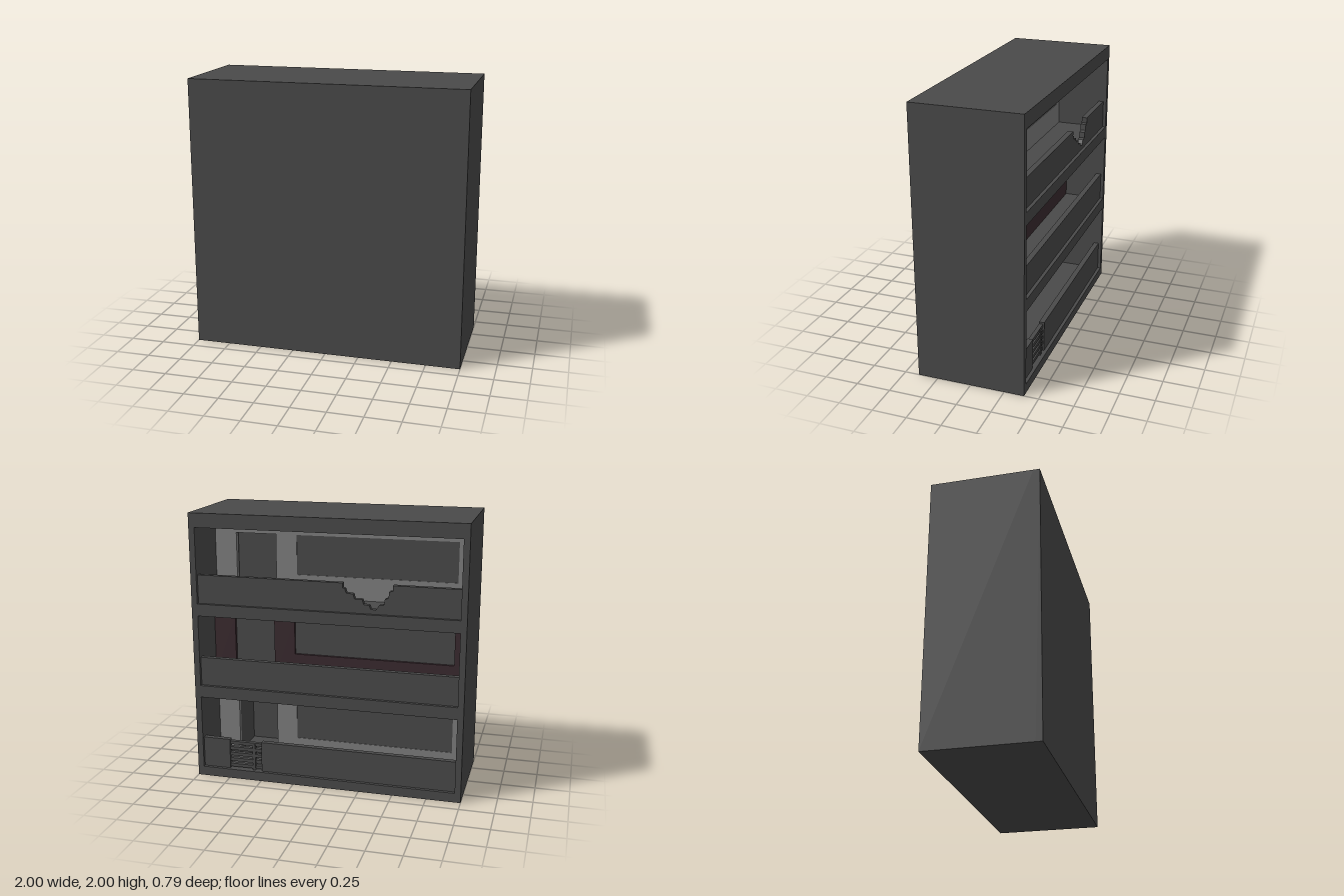
import * as THREE from 'three';

export function createModel() {
  const model = new THREE.Group();
  const mat = (name, color) => {
    const m = new THREE.MeshStandardMaterial({ color });
    m.name = name;
    return m;
  };
  const casing = mat('dark grey', 0x4a4a4a);
  const light = mat('light grey', 0x808080);
  const maroon = mat('dark maroon', 0x3b2b30);

  const W = 0.956, BACK = -0.395, FRONT = 0.395;
  const rect = (x0, x1, y0, y1) =>
    [[x0, y0], [x1, y0], [x1, y1], [x0, y1]].map(([x, y]) => new THREE.Vector2(x, y));

  // Flat outline with holes, extruded between two z planes
  function slab(name, outline, holes, z0, z1, material, parent = model) {
    const shape = new THREE.Shape(outline);
    holes.forEach(h => shape.holes.push(new THREE.Path(h)));
    const geo = new THREE.ExtrudeGeometry(shape, { depth: z1 - z0, bevelEnabled: false });
    geo.translate(0, 0, z0);
    const mesh = new THREE.Mesh(geo, material);
    mesh.name = name;
    parent.add(mesh);
  }

  // Compartments: floor, ceiling, rail top, inner panel depth and colour
  const rows = [
    { name: 'upper', y0: 1.34, y1: 1.896, rail: 1.55, z: 0, top: 0.09, sill: 0.17, depth: 0.05, material: light },
    { name: 'middle', y0: 0.717, y1: 1.25, rail: 0.93, z: -0.075, top: 0.072, sill: 0.2, depth: 0.03, material: maroon },
    { name: 'lower', y0: 0.07, y1: 0.627, rail: 0.3, z: -0.04, top: 0.1, sill: 0.16, depth: 0.32, material: light },
  ];

  // Cabinet shell, open at the back, and its closed front
  slab('cabinetShell', rect(-1, 1, 0, 2), rows.map(r => rect(-W, W, r.y0, r.y1)), BACK, 0.35, casing);
  slab('frontWall', rect(-1, 1, 0, 2), [], 0.35, FRONT, casing);

  for (const r of rows) {
    const bay = new THREE.Group();
    bay.name = r.name + 'Compartment';
    model.add(bay);

    // Inner panel with a narrow and a wide opening, and the backing behind each
    const narrow = rect(0.48, 0.79, r.y0 + 0.005, r.y1 - r.top);
    const wide = rect(-0.88, 0.32, r.y0 + r.sill, r.y1 - r.top);
    slab('innerPanel', rect(-W, W, r.y0, r.y1), [narrow, wide], r.z, r.z + 0.03, r.material, bay);
    const recess = r.name === 'middle' ? 0.02 : 0.004;
    slab('widePanel', wide, [], r.z + recess, r.z + 0.03, casing, bay);
    slab('narrowRecessSides', rect(0.42, 0.85, r.y0, r.y1), [narrow], r.z + 0.028, r.z + r.depth, casing, bay);
    slab('narrowRecessBack', narrow, [], r.z + r.depth - 0.004, r.z + r.depth + 0.02, casing, bay);
  }

  // Rails across the lower part of each compartment
  const [upper, middle, lower] = rows;
  const z0 = BACK + 0.024, z1 = z0 + 0.04;
  const notch = [
    [-0.48, 1.55], [-0.48, 1.51], [-0.455, 1.505], [-0.45, 1.46], [-0.425, 1.45], [-0.42, 1.41],
    [-0.385, 1.405], [-0.36, 1.37], [-0.325, 1.375], [-0.315, 1.40], [-0.275, 1.405], [-0.265, 1.44],
    [-0.21, 1.44], [-0.2, 1.475], [-0.15, 1.48], [-0.14, 1.51], [-0.125, 1.515], [-0.125, 1.55],
  ];
  const broken = [[-W, upper.y0], [W, upper.y0], [W, upper.rail], ...notch.slice().reverse(), [-W, upper.rail]];
  slab('brokenRail', broken.map(p => new THREE.Vector2(...p)), [], z0, z1, casing);
  slab('middleRail', rect(-W, W, middle.y0, middle.rail), [], z0, z1, casing);
  slab('lowerRailShort', rect(0.75, W, lower.y0, lower.rail), [], z0, z1, casing);
  slab('lowerRailLong', rect(-W, 0.5, lower.y0, lower.rail), [], z0, z1, casing);

  // Slatted grille in the gap of the lower rail
  const grille = new THREE.Group();
  grille.name = 'grille';
  model.add(grille);
  for (let i = 0; i < 5; i++) {
    const y = lower.y0 + 0.01 + i * 0.045;
    slab('slat', rect(0.5, 0.75, y, y + 0.025), [], z0 + 0.01, z1, casing, grille);
  }
  slab('grillePost', rect(0.55, 0.572, lower.y0, 0.275), [], z0 + 0.004, z1, casing, grille);

  return model;
}
